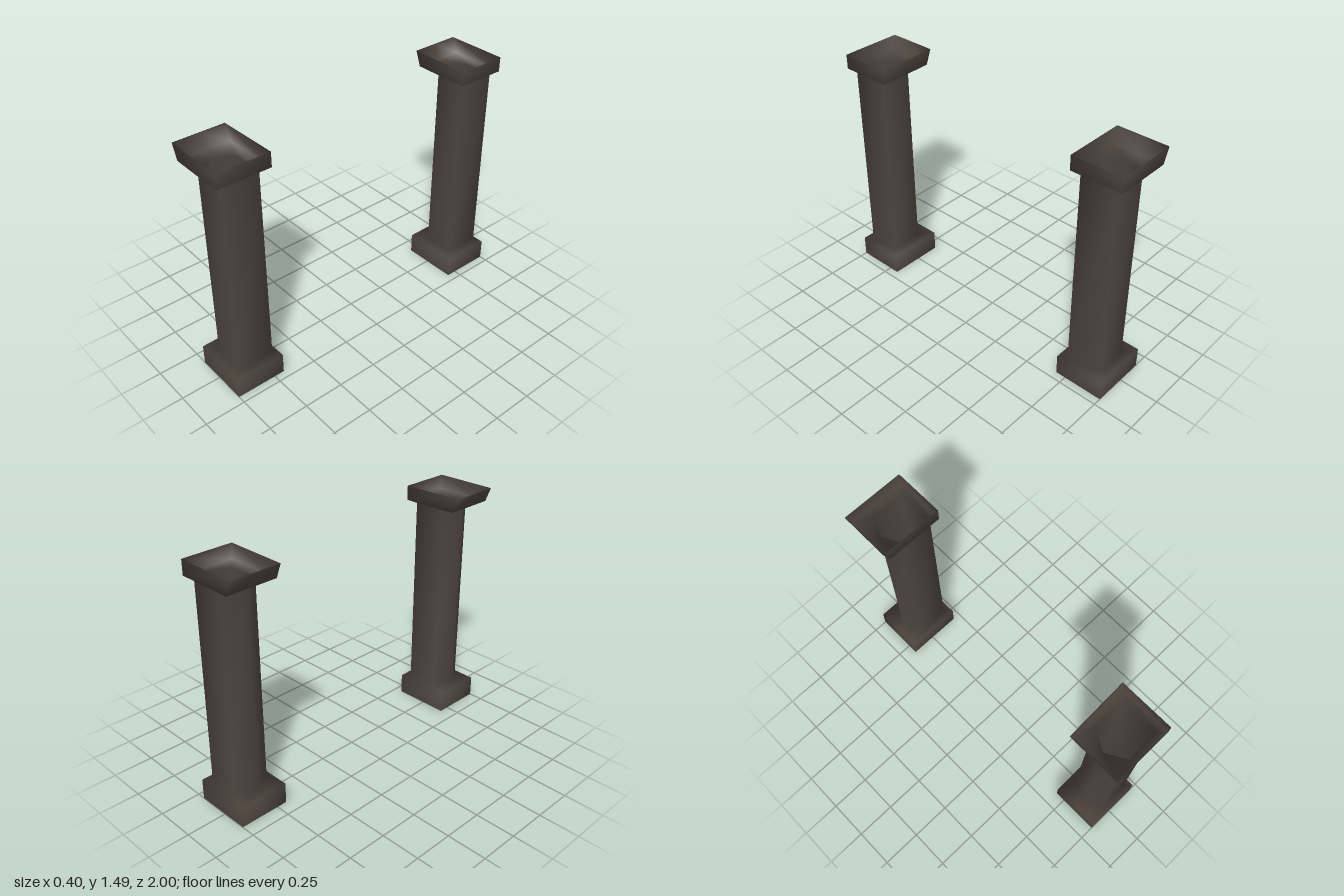
import * as THREE from 'three';

// Cross-sections from bottom to top: height, left x, right x, half depth,
// and how far the left corners are pulled in from the tip (pentagonal shaft).
const SECTIONS = [
  { y: 0.0, x0: -0.16, x1: 0.2, d: 0.157, inset: 0 },       // base foot
  { y: 0.13, x0: -0.16, x1: 0.2, d: 0.157, inset: 0 },      // base shoulder
  { y: 0.16, x0: -0.11, x1: 0.155, d: 0.116, inset: 0.065 },  // shaft bottom
  { y: 1.375, x0: -0.11, x1: 0.155, d: 0.116, inset: 0.065 }, // shaft top
  { y: 1.4, x0: -0.165, x1: 0.19, d: 0.157, inset: 0 },     // capital underside
  { y: 1.49, x0: -0.2, x1: 0.19, d: 0.157, inset: 0 },      // capital rim
];

// Open tube skinned over five-point loops, with normals shared across edges
function columnGeometry(capitalSkew) {
  const positions = [];
  const indices = [];
  SECTIONS.forEach(({ y, x0, x1, d, inset }, r) => {
    const skew = r >= 4 ? capitalSkew : 0;
    const loop = [
      [x0, 0],
      [x0 + inset, d],
      [x1, d],
      [x1, -d - skew],
      [x0 + inset, -d],
    ];
    loop.forEach(([x, z]) => positions.push(x, y, z));
    if (r === 0) return;
    for (let i = 0; i < 5; i++) {
      const j = (i + 1) % 5;
      const low = (r - 1) * 5;
      const high = r * 5;
      indices.push(low + i, low + j, high + j, low + i, high + j, high + i);
    }
  });
  const geometry = new THREE.BufferGeometry();
  geometry.setAttribute('position', new THREE.Float32BufferAttribute(positions, 3));
  geometry.setIndex(indices);
  geometry.computeVertexNormals();
  return geometry;
}

export function createModel() {
  const group = new THREE.Group();
  group.name = 'columnPair';
  const stone = new THREE.MeshStandardMaterial({ color: 0x4c433c, side: THREE.DoubleSide });
  stone.name = 'darkStone';

  // Two hollow columns; the front capital is slightly uneven on its inner corner
  [['frontColumn', 0.843, 0.012], ['backColumn', -0.843, 0]].forEach(([name, z, skew]) => {
    const column = new THREE.Mesh(columnGeometry(skew), stone);
    column.name = name;
    column.position.z = z;
    group.add(column);
  });
  return group;
}
